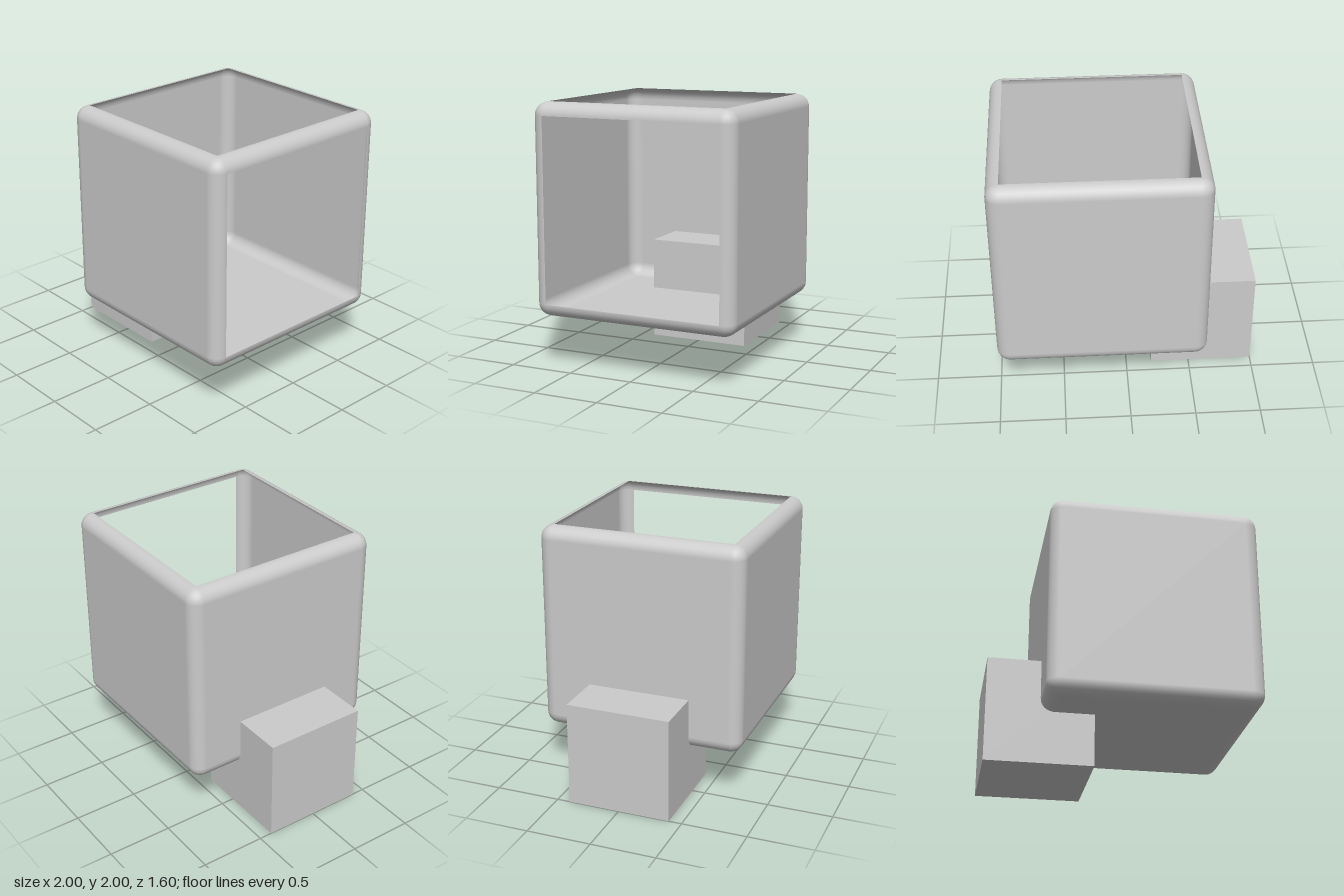
import * as THREE from 'three';
import { RoundedBoxGeometry } from 'three/addons/geometries/RoundedBoxGeometry.js';

const SIZE = 1.6;

// Rounded cube with the flat panels of its top and left (+x) sides left out
function openCubeGeometry() {
  const full = new RoundedBoxGeometry(SIZE, SIZE, SIZE, 3, 0.1);
  const pos = full.attributes.position;
  const nor = full.attributes.normal;
  const points = [], normals = [];
  for (let i = 0; i < pos.count; i += 3) {
    const tri = [i, i + 1, i + 2];
    const open = tri.every(k => nor.getX(k) > 0.95) || tri.every(k => nor.getY(k) > 0.95);
    if (open) continue;
    for (const k of tri) {
      points.push(pos.getX(k), pos.getY(k), pos.getZ(k));
      normals.push(nor.getX(k), nor.getY(k), nor.getZ(k));
    }
  }
  const geometry = new THREE.BufferGeometry();
  geometry.setAttribute('position', new THREE.Float32BufferAttribute(points, 3));
  geometry.setAttribute('normal', new THREE.Float32BufferAttribute(normals, 3));

  // Bring the outer faces to the exact size
  geometry.computeBoundingBox();
  const s = SIZE / 2 / -geometry.boundingBox.min.x;
  geometry.scale(s, s, s);
  return geometry;
}

export function createModel() {
  const model = new THREE.Group();
  const material = new THREE.MeshStandardMaterial({ color: 0xcccccc, side: THREE.DoubleSide });

  // Thin open shell
  const shell = new THREE.Mesh(openCubeGeometry(), material);
  shell.name = 'openRoundedCube';
  shell.position.set(0.2, 1.2, 0);
  model.add(shell);

  // Sharp-edged block pushed into the shell's lower corner
  const block = new THREE.Mesh(new THREE.BoxGeometry(0.8, 0.8, 0.8), material);
  block.name = 'smallBlock';
  block.position.set(-0.6, 0.4, 0);
  model.add(block);

  return model;
}
